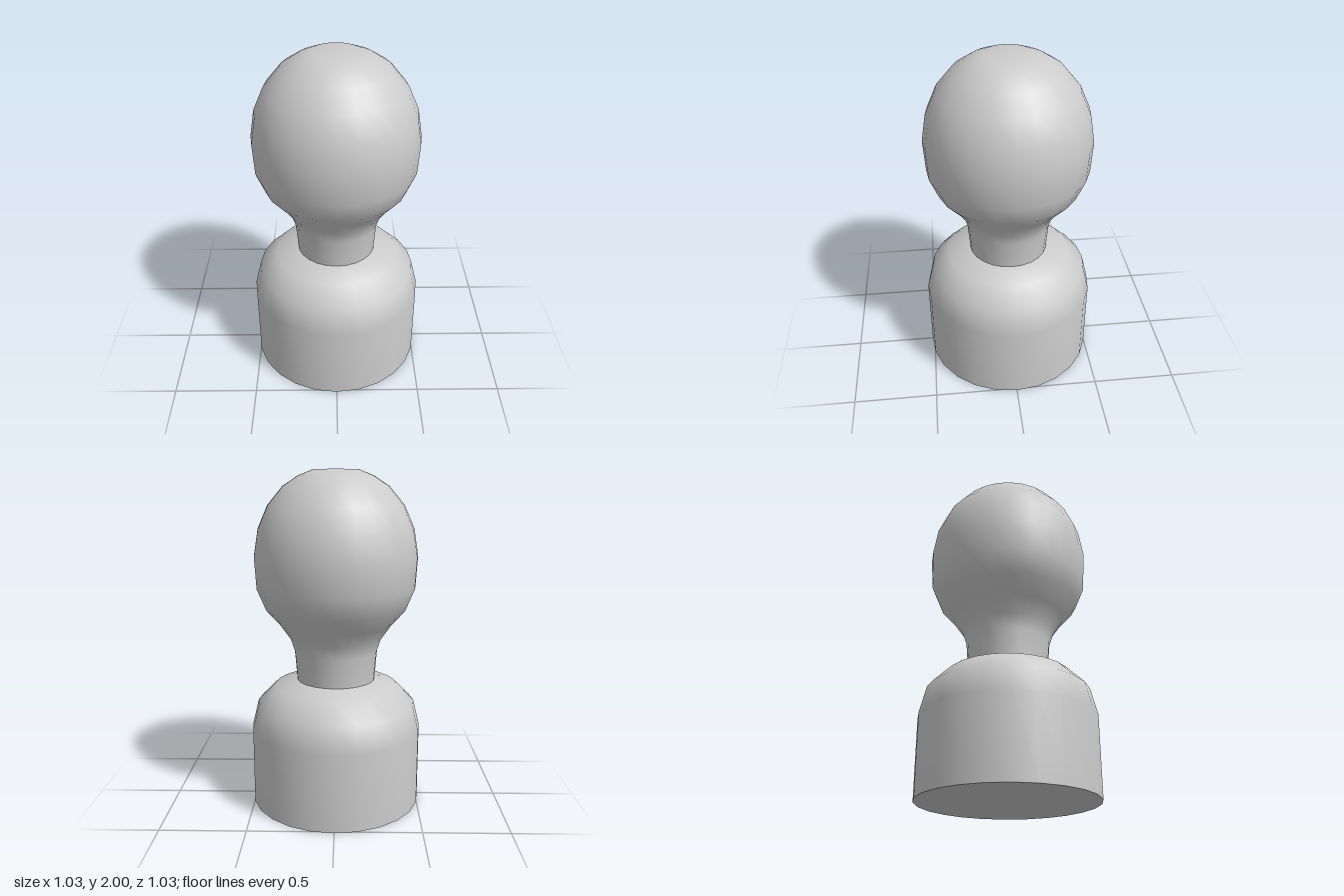
import * as THREE from 'three';

const SIDES = 24;
const material = new THREE.MeshStandardMaterial({ color: 0xcccccc });

// Revolve a bottom-to-top list of [radius, height] pairs
function turned(name, profile) {
  const points = profile.map(([r, y]) => new THREE.Vector2(r, y));
  const mesh = new THREE.Mesh(new THREE.LatheGeometry(points, SIDES), material);
  mesh.name = name;
  return mesh;
}

export function createModel() {
  const group = new THREE.Group();
  group.name = 'pegFigure';

  // Cylindrical body with rounded shoulders
  group.add(turned('body', [
    [0.515, 0], [0.515, 0.466], [0.477, 0.62], [0.37, 0.727], [0.235, 0.763],
  ]));

  // Flat underside
  const base = new THREE.Mesh(new THREE.CircleGeometry(0.515, SIDES), material);
  base.name = 'base';
  base.rotation.x = Math.PI / 2;
  group.add(base);

  // Neck flaring smoothly into the round head
  group.add(turned('neckAndHead', [
    [0.235, 0.763], [0.249, 0.938], [0.275, 1.017], [0.333, 1.102],
    [0.418, 1.198], [0.471, 1.325], [0.482, 1.51], [0.456, 1.667],
    [0.397, 1.8], [0.307, 1.908], [0.217, 1.966], [0.132, 2], [0, 2],
  ]));

  return group;
}
